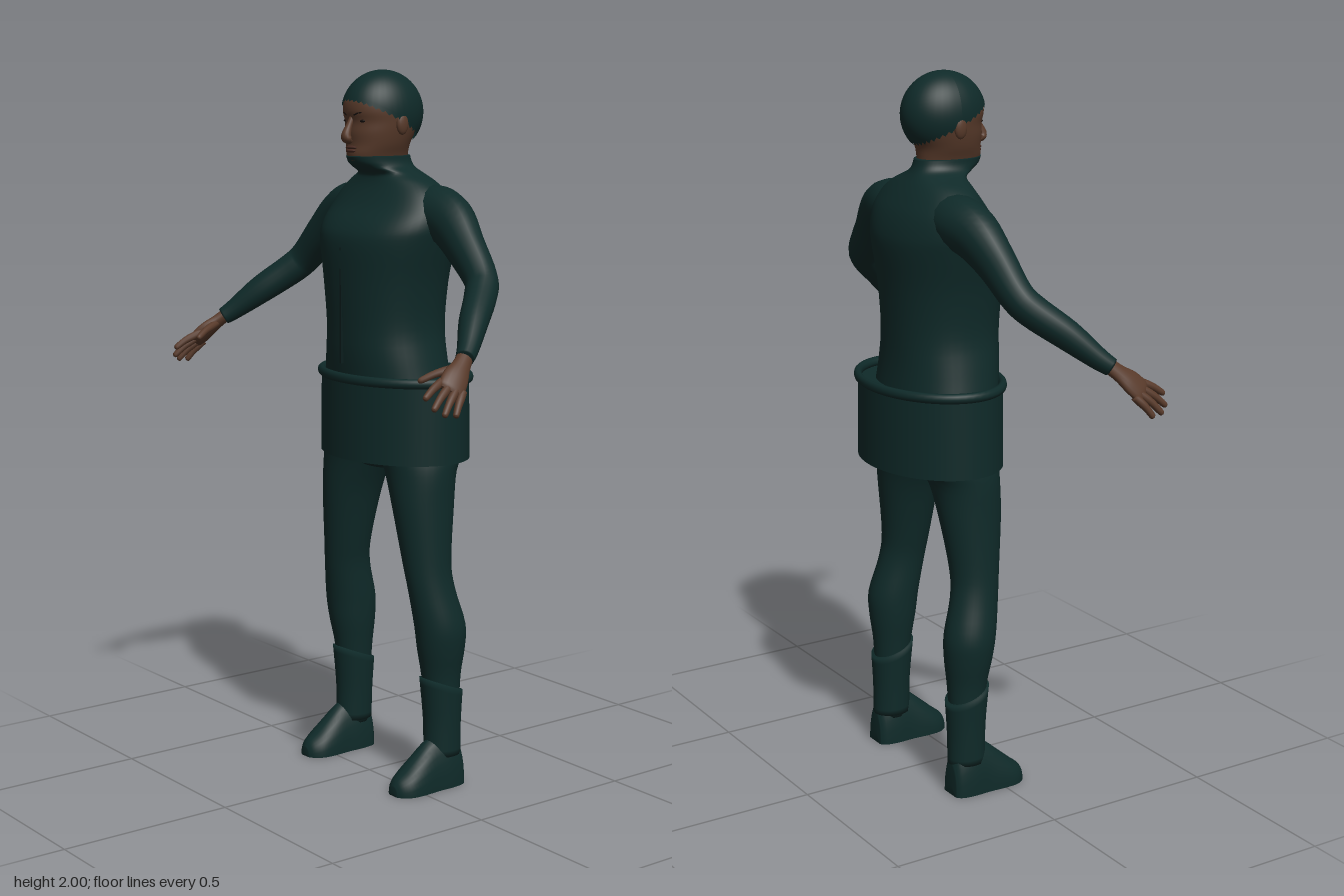
import * as THREE from 'three';

const mat = (name, color, side = THREE.FrontSide) =>
  Object.assign(new THREE.MeshStandardMaterial({ color, side }), { name });

// Smoothly resample rows of numbers, n steps between neighbours
function resample(rows, n) {
  const out = [];
  const at = (i) => rows[Math.min(rows.length - 1, Math.max(0, i))];
  for (let i = 0; i < rows.length - 1; i++) {
    for (let s = 0; s < n; s++) {
      const t = s / n;
      out.push(at(i).map((p1, k) => {
        const p0 = at(i - 1)[k], p2 = at(i + 1)[k], p3 = at(i + 2)[k];
        return p1 + 0.5 * t * (p2 - p0 + t * (2 * p0 - 5 * p1 + 4 * p2 - p3 + t * (3 * (p1 - p2) + p3 - p0)));
      }));
    }
  }
  out.push(rows[rows.length - 1]);
  return out;
}

// Skin closed rings of points and cap both ends
function loft(rings) {
  const m = rings[0].length, pos = [], idx = [];
  rings.forEach((r) => r.forEach((p) => pos.push(...p)));
  for (let i = 0; i < rings.length - 1; i++) {
    for (let j = 0; j < m; j++) {
      const a = i * m + j, b = i * m + (j + 1) % m;
      idx.push(a, a + m, b, a + m, b + m, b);
    }
  }
  [0, rings.length - 1].forEach((i, end) => {
    const c = pos.length / 3;
    pos.push(...[0, 1, 2].map((k) => rings[i].reduce((s, p) => s + p[k], 0) / m));
    for (let j = 0; j < m; j++) {
      const a = i * m + j, b = i * m + (j + 1) % m;
      idx.push(c, ...(end ? [b, a] : [a, b]));
    }
  });
  const g = new THREE.BufferGeometry();
  g.setAttribute('position', new THREE.Float32BufferAttribute(pos, 3));
  g.setIndex(idx);
  g.computeVertexNormals();
  return g;
}

const angles = (m) => Array.from({ length: m }, (_, j) => (j / m) * Math.PI * 2);
const soft = (v, e) => Math.sign(v) * Math.abs(v) ** (2 / e);

// Upright body from rows [y, xMin, xMax, zFront, zBack]
function body(rows, { e = 2, n = 4, m = 36 } = {}) {
  return loft(resample(rows, n).map(([y, x0, x1, zf, zb]) => angles(m).map((a) => [
    (x0 + x1) / 2 + (x1 - x0) / 2 * soft(Math.cos(a), e), y,
    (zf + zb) / 2 + (zf - zb) / 2 * soft(Math.sin(a), e)])));
}
const symmetric = (rows) => rows.map(([y, w, zf, zb]) => [y, -w, w, zf, zb]);

// Limb along rows [x, y, z, sideRadius, normalRadius]
function limb(rows, normal = [0, 0, 1], n = 5, m = 18) {
  const pts = resample(rows, n), up = new THREE.Vector3(...normal);
  return loft(pts.map((p, i) => {
    const q = pts[Math.min(i + 1, pts.length - 1)], o = pts[Math.max(i - 1, 0)];
    const T = new THREE.Vector3(q[0] - o[0], q[1] - o[1], q[2] - o[2]).normalize();
    const N = up.clone().addScaledVector(T, -up.dot(T)).normalize();
    const S = T.clone().cross(N);
    return angles(m).map((a) => new THREE.Vector3(p[0], p[1], p[2])
      .addScaledVector(S, p[3] * Math.cos(a)).addScaledVector(N, p[4] * Math.sin(a)).toArray());
  }));
}

function mirrored(geo) {
  const g = geo.clone().scale(-1, 1, 1), ix = g.index.array;
  for (let i = 0; i < ix.length; i += 3) [ix[i], ix[i + 1]] = [ix[i + 1], ix[i]];
  g.computeVertexNormals();
  return g;
}

const ball = (x, y, z, rx, ry, rz) =>
  new THREE.SphereGeometry(1, 16, 12).scale(rx, ry, rz).translate(x, y, z);

export function createModel() {
  const model = new THREE.Group();
  const suit = mat('suit green', 0x0f2a29);
  const suitOpen = mat('suit green skirt', 0x0f2a29, THREE.DoubleSide);
  const seam = mat('seam dark', 0x0a1c1c);
  const skin = mat('skin brown', 0x583a2a);
  const lip = mat('lip brown', 0x472a22);
  const dark = mat('brow black', 0x17100d);

  const add = (name, geo, material) => {
    const mesh = new THREE.Mesh(geo, material);
    mesh.name = name;
    model.add(mesh);
  };
  const pair = (name, geo, material) => {
    add('left ' + name, geo, material);
    add('right ' + name, mirrored(geo), material);
  };

  // Torso with collar reaching under the chin
  add('torso', body(symmetric([
    [0.9, 0.08, 0.0, -0.13], [0.95, 0.2, 0.04, -0.2], [1.05, 0.215, 0.07, -0.225], [1.2, 0.188, 0.09, -0.212],
    [1.3, 0.172, 0.095, -0.21], [1.42, 0.185, 0.1, -0.215], [1.53, 0.212, 0.1, -0.225],
    [1.58, 0.222, 0.082, -0.222], [1.63, 0.215, 0.042, -0.207], [1.67, 0.19, 0.016, -0.185],
    [1.7, 0.15, 0.002, -0.165], [1.72, 0.105, 0.002, -0.15], [1.735, 0.075, 0.035, -0.14],
    [1.75, 0.065, 0.058, -0.133], [1.768, 0.063, 0.067, -0.128],
  ]), { e: 2.2, m: 48 }), suit);
  add('front zip', new THREE.BoxGeometry(0.006, 0.32, 0.008).translate(0, 1.36, 0.097), seam);

  // Stiff waist skirt with rolled rim
  const oval = (g) => g.scale(1, 1, 0.73).translate(0, 0, -0.09);
  add('skirt', oval(new THREE.CylinderGeometry(0.247, 0.25, 0.22, 56, 1, true).translate(0, 1.04, 0)), suitOpen);
  add('skirt shelf', oval(new THREE.RingGeometry(0.15, 0.247, 56).rotateX(-Math.PI / 2).translate(0, 1.148, 0)), suitOpen);
  add('skirt rim', oval(new THREE.TorusGeometry(0.247, 0.014, 10, 56).rotateX(Math.PI / 2).translate(0, 1.158, 0)), suit);

  // Legs
  pair('leg', body([
    [0.08, 0.166, 0.25, -0.05, -0.15], [0.22, 0.16, 0.254, -0.05, -0.15], [0.32, 0.152, 0.258, -0.04, -0.155],
    [0.4, 0.143, 0.272, -0.025, -0.164], [0.47, 0.139, 0.277, -0.015, -0.164], [0.57, 0.135, 0.258, 0.0, -0.138],
    [0.65, 0.12, 0.249, 0.01, -0.132], [0.8, 0.083, 0.245, 0.026, -0.152], [0.9, 0.042, 0.245, 0.03, -0.17],
    [0.96, 0.012, 0.238, 0.035, -0.21], [1.06, 0.0, 0.21, 0.04, -0.21],
  ]), suit);

  // Boots: shaft with a cuff dipping to the back, and a flat soled foot
  const shaft = body([
    [0.09, 0.16, 0.256, -0.045, -0.156], [0.2, 0.155, 0.258, -0.045, -0.156], [0.32, 0.147, 0.264, -0.034, -0.161],
  ]);
  const sp = shaft.attributes.position;
  for (let i = 0; i < sp.count; i++) {
    const k = (sp.getY(i) - 0.09) / 0.23, back = Math.max(0, -0.035 - sp.getZ(i)) / 0.125;
    sp.setY(i, sp.getY(i) - 0.05 * k * back);
  }
  shaft.computeVertexNormals();
  pair('boot shaft', shaft, suit);
  pair('boot foot', loft(resample([
    [-0.156, 0.03, 0.09], [-0.14, 0.044, 0.13], [-0.1, 0.05, 0.155], [-0.05, 0.049, 0.14], [0, 0.052, 0.1],
    [0.04, 0.049, 0.066], [0.066, 0.034, 0.045], [0.078, 0.016, 0.026],
  ], 4).map(([z, w, h]) => angles(28).map((a) =>
    [0.211 + w * Math.cos(a), h * soft(Math.max(0, -Math.sin(a)), 2.4), z]))), suit);

  // Sleeves
  pair('arm', limb([
    [0.1, 1.615, -0.1, 0.07, 0.07], [0.17, 1.617, -0.1, 0.075, 0.073], [0.245, 1.592, -0.093, 0.073, 0.062],
    [0.32, 1.53, -0.08, 0.06, 0.05], [0.395, 1.458, -0.068, 0.049, 0.044], [0.43, 1.42, -0.04, 0.046, 0.044],
    [0.485, 1.36, 0.03, 0.042, 0.039], [0.535, 1.302, 0.09, 0.031, 0.029], [0.556, 1.278, 0.12, 0.026, 0.024],
  ]), suit);

  // Hands: palm, four fingers and thumb
  const palmNormal = [-0.78, -0.62, -0.06];
  pair('palm', limb([
    [0.549, 1.286, 0.11, 0.022, 0.018], [0.565, 1.262, 0.138, 0.025, 0.017], [0.578, 1.238, 0.166, 0.035, 0.017],
    [0.59, 1.214, 0.19, 0.036, 0.014], [0.594, 1.205, 0.2, 0.028, 0.008],
  ], palmNormal), skin);
  const fingers = {
    'index finger': [0.57, 1.228, 0.205, 0.585, 1.192, 0.274],
    'middle finger': [0.588, 1.213, 0.2, 0.608, 1.165, 0.264],
    'ring finger': [0.6, 1.201, 0.188, 0.623, 1.15, 0.241],
    'little finger': [0.606, 1.193, 0.17, 0.628, 1.146, 0.208],
    thumb: [0.553, 1.254, 0.155, 0.514, 1.226, 0.238],
  };
  for (const [name, [x, y, z, u, v, w]] of Object.entries(fingers)) {
    const at = (t, r, bend = 0) => [x + (u - x) * t, y + (v - y) * t + bend, z + (w - z) * t, r, r];
    pair(name, limb([at(-0.2, 0.011), at(0.2, 0.0115, 0.003), at(0.55, 0.01, 0.004),
      at(0.9, 0.0085), at(0.98, 0.005), at(1, 0.001)], palmNormal, 3, 10), skin);
  }

  // Head
  add('head', body(symmetric([
    [1.755, 0.058, 0.062, -0.12], [1.775, 0.065, 0.065, -0.12], [1.8, 0.075, 0.062, -0.123], [1.83, 0.083, 0.064, -0.138],
    [1.86, 0.088, 0.062, -0.15], [1.89, 0.09, 0.069, -0.152], [1.925, 0.086, 0.062, -0.148], [1.96, 0.06, 0.03, -0.115],
  ]), { e: 2.15 }), skin);
  add('nose', limb([
    [0, 1.872, 0.058, 0.008, 0.008], [0, 1.85, 0.069, 0.009, 0.009], [0, 1.826, 0.079, 0.014, 0.013],
    [0, 1.814, 0.077, 0.017, 0.012], [0, 1.806, 0.066, 0.01, 0.007],
  ]), skin);
  add('upper lip', ball(0, 1.791, 0.062, 0.023, 0.005, 0.008), lip);
  add('lower lip', ball(0, 1.782, 0.063, 0.02, 0.005, 0.008), lip);
  pair('ear', ball(0.089, 1.855, -0.045, 0.011, 0.03, 0.019), skin);
  pair('eye', ball(0.034, 1.863, 0.051, 0.013, 0.0045, 0.006), dark);
  pair('eyebrow', limb([
    [0.016, 1.879, 0.064, 0.003, 0.003], [0.036, 1.886, 0.058, 0.004, 0.003], [0.056, 1.88, 0.043, 0.002, 0.002],
  ], [0, 0, 1], 4, 8), dark);

  // Cap: an egg shape whose edge runs from high brow to low nape
  const cap = new THREE.SphereGeometry(1, 40, 24);
  const cp = cap.attributes.position, uv = cap.attributes.uv;
  for (let i = 0; i < cp.count; i++) {
    const phi = uv.getX(i) * Math.PI * 2, front = Math.sin(phi);
    const theta = (1 - uv.getY(i)) * (1.83 - 0.52 * front);
    cp.setXYZ(i, -Math.cos(phi) * Math.sin(theta) * 0.097, 1.885 + 0.115 * Math.cos(theta),
      -0.045 + front * Math.sin(theta) * 0.122);
  }
  cap.computeVertexNormals();
  add('cap', cap, suitOpen);
  return model;
}
